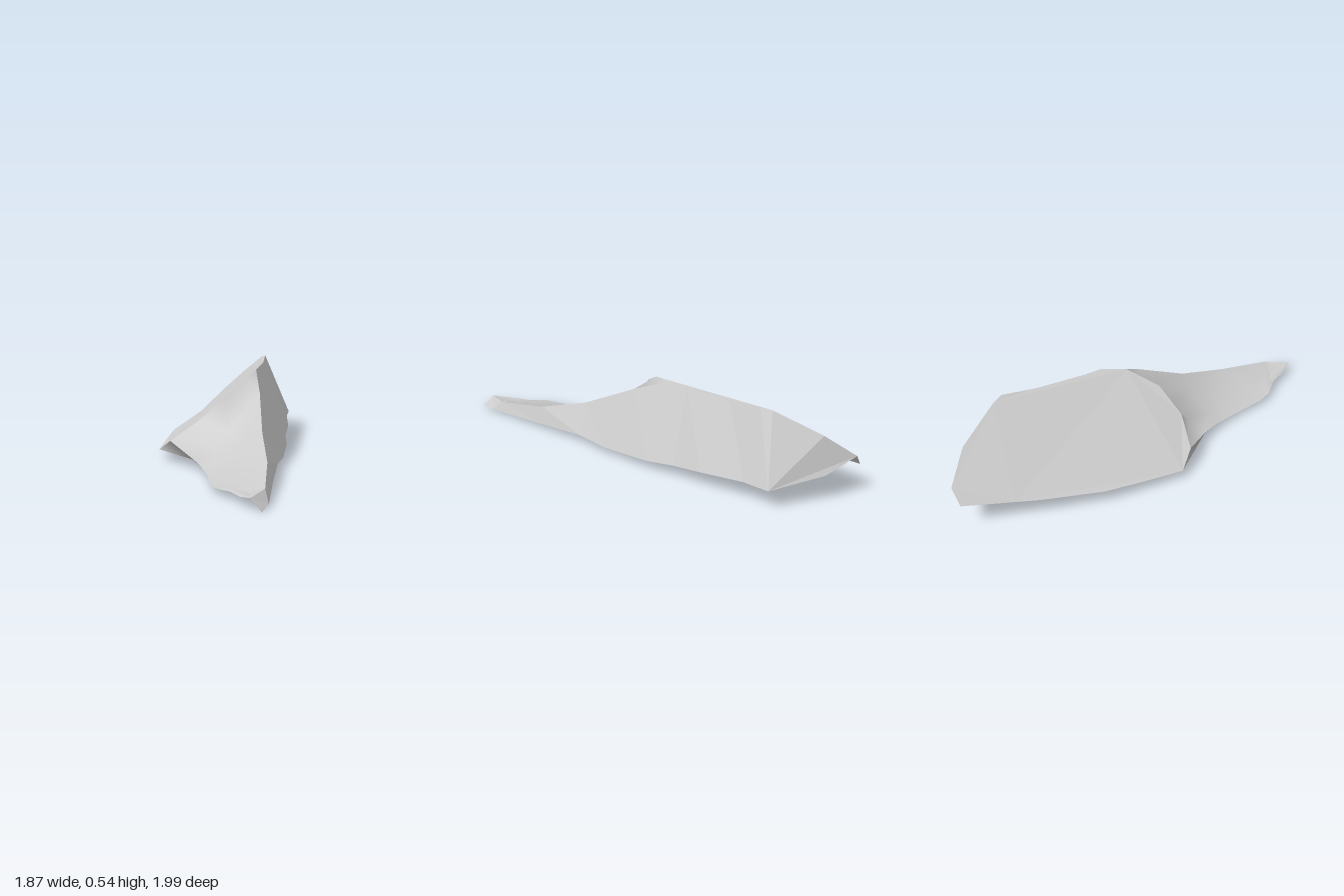
import * as THREE from 'three';
import { mergeVertices } from 'three/addons/utils/BufferGeometryUtils.js';

const V = (list) => list.map((p) => new THREE.Vector3(...p));

// Turns triangles into a mesh, each wound so that it faces up (1) or down (-1)
function patch(name, tris, facing = 1, smooth = false) {
  const pos = [];
  for (const [a, b, c] of tris) {
    const n = b.clone().sub(a).cross(c.clone().sub(a));
    if (n.length() < 1e-7) continue;
    for (const p of n.y * facing >= 0 ? [a, b, c] : [a, c, b]) pos.push(p.x, p.y, p.z);
  }
  let geo = new THREE.BufferGeometry();
  geo.setAttribute('position', new THREE.Float32BufferAttribute(pos, 3));
  if (smooth) geo = mergeVertices(geo, 1e-4);
  geo.computeVertexNormals();
  const mat = new THREE.MeshStandardMaterial({ color: 0xcccccc, flatShading: !smooth, side: THREE.DoubleSide });
  const mesh = new THREE.Mesh(geo, mat);
  mesh.name = name;
  return mesh;
}

// Fills an outline, triangulated in plan
function fill(loop) {
  const flat = loop.map((p) => new THREE.Vector2(p.x, p.z));
  return THREE.ShapeUtils.triangulateShape(flat, []).map((t) => t.map((i) => loop[i]));
}

// Bridges two rows with the same number of points
function strip(a, b) {
  const tris = [];
  for (let i = 0; i < a.length - 1; i++) {
    tris.push([a[i], a[i + 1], b[i]], [b[i], a[i + 1], b[i + 1]]);
  }
  return tris;
}

export function createModel() {
  const group = new THREE.Group();
  group.name = 'rockShard';

  // Lower front edge, from the thin tail to the thick end
  const front = V([
    [-0.93, 0, 0.99], [-0.82, 0.015, 0.94], [-0.46, 0.035, 0.66], [-0.19, 0.055, 0.46], [0, 0.045, 0.34],
    [0.27, 0.06, 0.14], [0.41, 0.08, 0.01], [0.58, 0.105, -0.11], [0.79, 0.125, -0.3], [0.93, 0.125, -0.4],
  ]);
  // Ridge above it
  const ridge = V([
    [-0.94, 0.065, 0.92], [-0.78, 0.08, 0.88], [-0.5, 0.14, 0.65], [-0.27, 0.24, 0.41], [0, 0.42, 0.15],
    [0.18, 0.525, -0.04], [0.27, 0.52, -0.11], [0.53, 0.515, -0.29], [0.7, 0.54, -0.42], [0.73, 0.525, -0.48],
  ]);
  // Thick end: sloping upper edge, then lower corner
  const [endTop, endTip, endLow] = V([[0.85, 0.39, -0.75], [0.87, 0.25, -0.95], [0.91, 0.17, -0.75]]);
  // Lower back edge
  const back = V([
    [0.81, 0.165, -1], [0.53, 0.125, -0.87], [0.39, 0.11, -0.81], [0.05, 0.085, -0.65],
    [-0.15, 0.07, -0.51], [-0.37, 0.055, -0.35],
  ]);
  // Rim where the back slope breaks into the neck
  const rim = V([[0.18, 0.525, -0.04], [0.03, 0.5, 0.02], [-0.17, 0.4, 0.02], [-0.32, 0.26, -0.06], [-0.4, 0.13, -0.22]]);
  // Outer edge of the neck, and the small step at the tail
  const neck = V([[-0.46, 0.06, 0.04], [-0.52, 0.045, 0.16], [-0.6, 0.032, 0.28], [-0.78, 0.03, 0.49], [-0.83, 0.04, 0.57]]);
  const tail = V([[-0.85, 0.045, 0.7], [-0.91, 0.05, 0.82]]);

  group.add(patch('frontFace', strip(front, ridge)));
  group.add(patch('endFace', fill([front[9], ridge[9], endTop, endTip, endLow])));
  group.add(patch('backSlope', fill([...ridge.slice(5), endTop, endTip, ...back, ...rim.slice(1).reverse()])));

  // Hollowed neck: cross rows from the ridge to the outer edge, sagging slightly
  const inner = [ridge[4], ridge[3], ridge[3].clone().lerp(ridge[2], 0.5), ridge[2], ridge[1]];
  const rows = [rim];
  inner.forEach((p, i) => {
    rows.push(rim.map((_, k) => {
      const t = k / (rim.length - 1);
      const q = p.clone().lerp(neck[i], t);
      q.y -= Math.sin(Math.PI * t) * 0.07 * (p.y - neck[i].y);
      return q;
    }));
  });
  const neckTris = [];
  for (let i = 0; i < rows.length - 1; i++) neckTris.push(...strip(rows[i], rows[i + 1]));
  neckTris.push([back[5], rim[4], neck[0]]);
  group.add(patch('neck', neckTris, 1, true));

  group.add(patch('tailStep', fill([neck[4], ...tail, ridge[0], ridge[1]])));

  // Underside closes the whole outline
  group.add(patch('underside', fill([...front, endLow, endTip, ...back, ...neck, ...tail, ridge[0]]), -1));
  return group;
}
